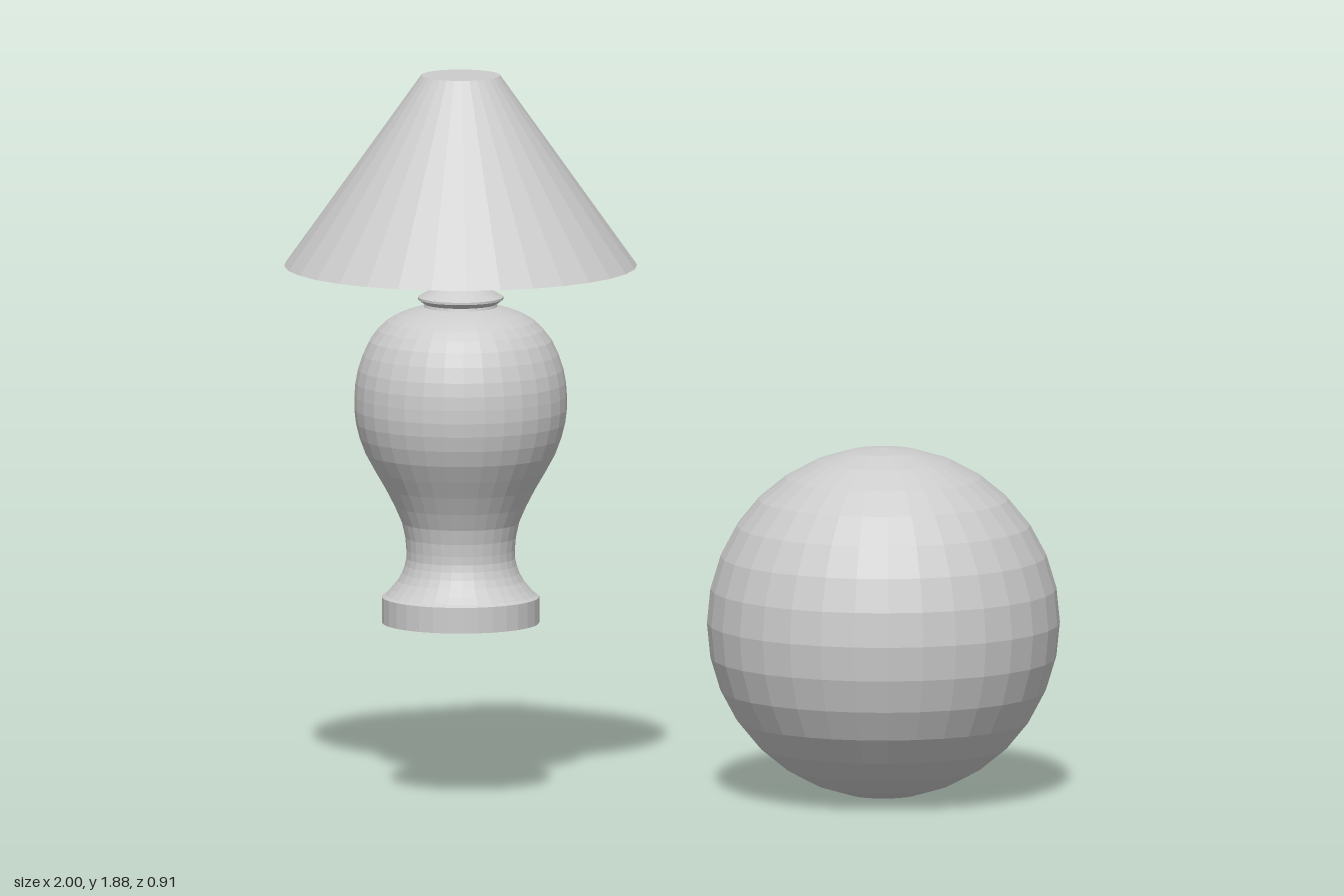
import * as THREE from 'three';

const SEGMENTS = 32;
const vectors = (pairs) => pairs.map(([r, y]) => new THREE.Vector2(r, y));

export function createModel() {
  const model = new THREE.Group();
  const grey = new THREE.MeshStandardMaterial({ color: 0xcccccc, flatShading: true, side: THREE.DoubleSide });
  grey.name = 'plain grey';

  const add = (parent, name, geometry, y = 0) => {
    const mesh = new THREE.Mesh(geometry, grey);
    mesh.name = name;
    mesh.position.y = y;
    parent.add(mesh);
  };
  // profiles run from bottom to top as [radius, height]
  const turn = (points) => new THREE.LatheGeometry(points, SEGMENTS);

  const lamp = new THREE.Group();
  lamp.name = 'tableLamp';
  lamp.position.x = -0.545;
  model.add(lamp);

  // Hollow foot ring, open underneath
  add(lamp, 'foot', turn(vectors([[0.203, 0.46], [0.203, 0.527], [0.194, 0.533]])));

  // Vase-shaped body with a smooth profile
  const body = new THREE.SplineCurve(vectors([
    [0.194, 0.533], [0.162, 0.57], [0.144, 0.61], [0.14, 0.65], [0.151, 0.72],
    [0.194, 0.81], [0.245, 0.9], [0.27, 0.98], [0.274, 1.05], [0.265, 1.12],
    [0.235, 1.195], [0.19, 1.245], [0.14, 1.27], [0.095, 1.283],
  ]));
  add(lamp, 'body', turn(body.getPoints(26)));

  // Flared cap on the body
  add(lamp, 'neckCap', turn(vectors([
    [0.095, 1.283], [0.093, 1.29], [0.11, 1.302], [0.11, 1.308], [0.085, 1.322],
    [0.06, 1.337], [0.042, 1.35], [0.025, 1.358], [0, 1.36],
  ])));

  // Stem up to the top of the shade
  add(lamp, 'stem', turn(vectors([[0.026, 1.355], [0.033, 1.367], [0.033, 1.88]])));

  // Conical shade, open below and closed on top
  add(lamp, 'shade', turn(vectors([[0.455, 1.39], [0.102, 1.885]])));
  const top = new THREE.CircleGeometry(0.102, SEGMENTS);
  top.rotateX(-Math.PI / 2);
  add(lamp, 'shadeTop', top, 1.885);

  // Ball beside the lamp
  const ball = new THREE.Group();
  ball.name = 'ball';
  ball.position.x = 0.545;
  model.add(ball);
  add(ball, 'ballSurface', new THREE.SphereGeometry(0.455, SEGMENTS, 16), 0.455);

  return model;
}
